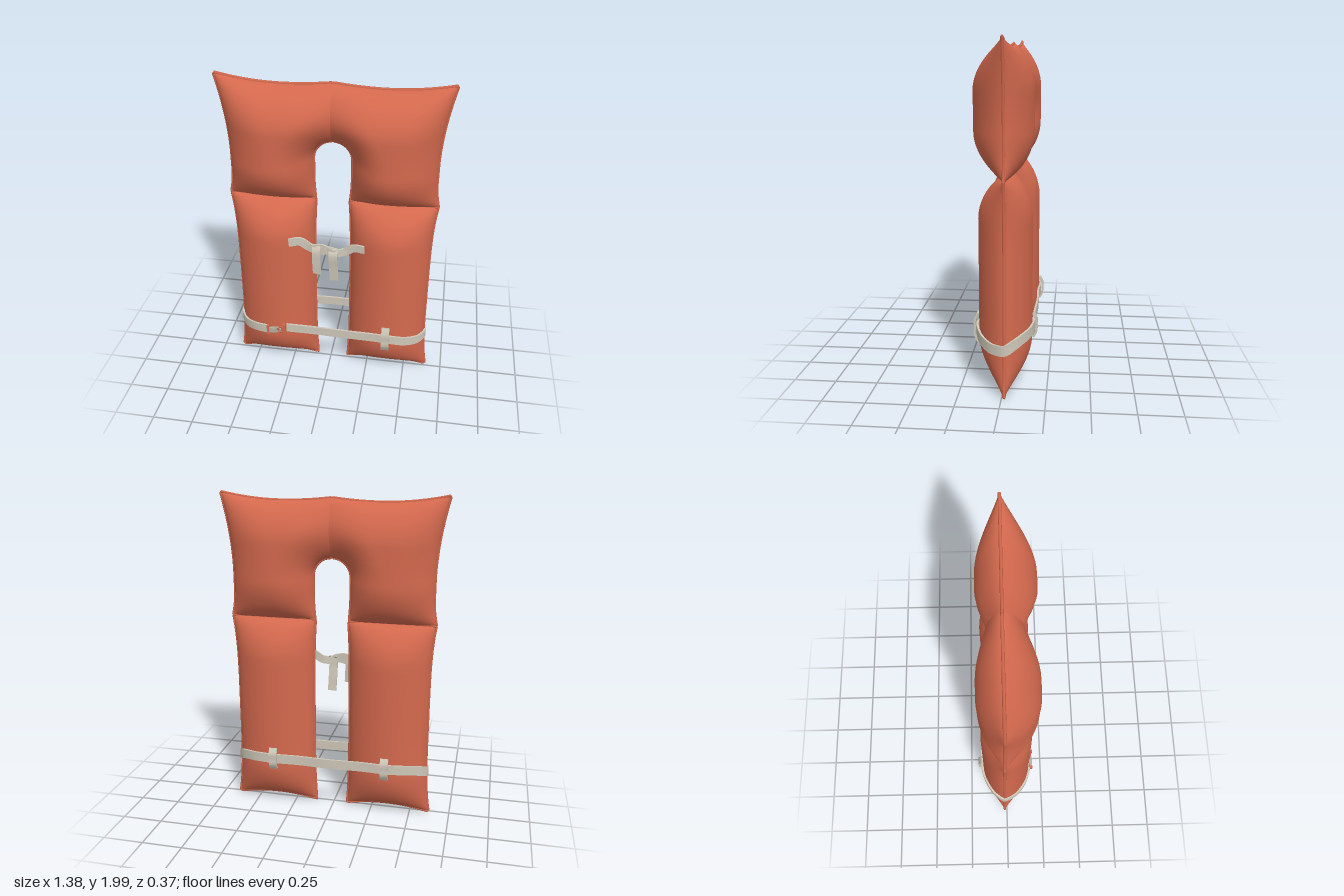
import * as THREE from 'three';
import { mergeGeometries, toCreasedNormals } from 'three/addons/utils/BufferGeometryUtils.js';

const fabric = new THREE.MeshStandardMaterial({ color: 0xd4694e });
fabric.name = 'orange fabric';
const webbing = new THREE.MeshStandardMaterial({ color: 0xcfc8b9 });
webbing.name = 'pale webbing';
const metal = new THREE.MeshStandardMaterial({ color: 0xb5afa2 });
metal.name = 'clip grey';

const CX = 0.012;   // x of the centre seam
const MID = -0.015; // z of the edge seam
const HOLE = 0.115, HOLE_Y = 1.505;

const pos = (v) => Math.max(0, v);
// pillow profile: 0 at the seam, 1 at a distance r from it
const puff = (d, r = 0.25) => Math.pow(Math.sin(Math.PI / 2 * Math.min(1, pos(d) / r)), 0.55);
// steps from a to b, denser at both ends
const steps = (a, b, n) => Array.from({ length: n + 1 }, (_, i) => a + (b - a) * (1 - Math.cos(Math.PI * i / n)) / 2);

const lowEnd = (y) => Math.pow(Math.min(1, Math.abs((y - 0.63) / 0.61)), 4);
const lower = {
  name: 'lowerPanel',
  rows: steps(0.014, 1.238, 44),
  inner: (y) => HOLE - 0.013 * lowEnd(y),
  outer: (y) => 0.605 + 0.027 * lowEnd(y),
  lift: (x, y) => 0.03 * pos(1 - ((x - 0.36) / 0.26) ** 2) * pos(1 - (y - 0.014) / 0.3),
  front: 0.17, back: 0.142,
  thick: (x, y) => puff(x - lower.inner(y)) * puff(lower.outer(y) - x) * puff(y - 0.014, 0.28) * puff(1.238 - y),
};

const upper = {
  name: 'shoulderPanel',
  rows: [...steps(1.238, HOLE_Y + HOLE, 26), ...steps(HOLE_Y + HOLE, 1.95, 22).slice(1)],
  inner: (y) => y < HOLE_Y ? HOLE - 0.01 * pos((1.4 - y) / 0.16) ** 2
    : Math.sqrt(pos(HOLE ** 2 - (y - HOLE_Y) ** 2)),
  outer: (y) => 0.613 + 0.069 * pos((y - 1.5) / 0.45) ** 2 + 0.02 * pos((1.4 - y) / 0.16) ** 2,
  lift: (x, y) => pos((y - 1.62) / 0.33) * (x > 0.3 ? 0.042 * ((x - 0.3) / 0.38) ** 2 : 0.02 * ((0.3 - x) / 0.3) ** 2),
  front: 0.197, back: 0.147,
  thick: (x, y) => {
    const hole = y < HOLE_Y ? x - upper.inner(y) : Math.hypot(x, y - HOLE_Y) - HOLE;
    const seam = 0.66 + 0.34 * Math.sin(Math.PI / 2 * Math.min(1, x / 0.25));
    return puff(hole, 0.22) * puff(upper.outer(y) - x, 0.28) * puff(1.95 - y) * puff(y - 1.238) * seam;
  },
};

// a stuffed panel: front and back sheets sharing one outline, plus piping
function makePanel(p, s) {
  const N = 32, R = p.rows.length, edge = [];
  const sheets = [1, -1].map((f) => {
    const verts = [], index = [];
    p.rows.forEach((b, i) => steps(p.inner(b), p.outer(b), N).forEach((x, j) => {
      const border = i === 0 || i === R - 1 || j === N || (j === 0 && p.inner(b) > 0);
      const t = border ? 0 : p.thick(x, b);
      verts.push(CX + s * x, b + p.lift(x, b), MID + f * t * (f > 0 ? p.front : p.back));
      if (i < R - 1 && j < N) {
        const a = i * (N + 1) + j, c = a + N + 1;
        if (s * f > 0) index.push(a, a + 1, c + 1, a, c + 1, c);
        else index.push(a, c + 1, a + 1, a, c, c + 1);
      }
    }));
    const g = new THREE.BufferGeometry();
    g.setAttribute('position', new THREE.Float32BufferAttribute(verts, 3));
    g.setIndex(index);
    g.computeVertexNormals();
    return g;
  });
  // walk round the outline: inner edge, bottom, outer edge, top
  const at = (x, b) => edge.push(new THREE.Vector3(CX + s * x, b + p.lift(x, b), MID));
  const first = p.rows[0], last = p.rows[R - 1], mids = p.rows.slice(1, -1);
  steps(p.inner(first), p.outer(first), 12).forEach((x) => at(x, first));
  mids.forEach((b) => at(p.outer(b), b));
  steps(p.inner(last), p.outer(last), 12).reverse().forEach((x) => at(x, last));
  [...mids].reverse().forEach((b) => at(p.inner(b), b));
  const group = new THREE.Group();
  group.name = (s > 0 ? 'left ' : 'right ') + p.name;
  const cushion = new THREE.Mesh(mergeGeometries(sheets), fabric);
  cushion.name = 'cushion';
  const piping = new THREE.Mesh(new THREE.TubeGeometry(new THREE.CatmullRomCurve3(edge, true), 240, 0.009, 6, true), fabric);
  piping.name = 'piping';
  group.add(cushion, piping);
  return group;
}

// flat webbing swept along a path; side gives the width direction
function ribbon(name, pts, width, side, n = 40, thickness = 0.012) {
  const curve = new THREE.CatmullRomCurve3(pts.map((q) => new THREE.Vector3(...q)));
  const verts = [], index = [];
  for (let i = 0; i <= n; i++) {
    const c = curve.getPoint(i / n), t = curve.getTangent(i / n);
    const w = new THREE.Vector3(...side).addScaledVector(t, -t.dot(new THREE.Vector3(...side))).normalize();
    const m = new THREE.Vector3().crossVectors(t, w);
    for (const [a, b] of [[1, 1], [-1, 1], [-1, -1], [1, -1]]) {
      const v = c.clone().addScaledVector(w, a * width / 2).addScaledVector(m, b * thickness / 2);
      verts.push(v.x, v.y, v.z);
    }
    if (i < n) for (let k = 0; k < 4; k++) {
      const a = i * 4 + k, b = i * 4 + (k + 1) % 4;
      index.push(a, b, b + 4, a, b + 4, a + 4);
    }
  }
  const e = n * 4;
  index.push(0, 2, 1, 0, 3, 2, e, e + 1, e + 2, e, e + 2, e + 3);
  const g = new THREE.BufferGeometry();
  g.setAttribute('position', new THREE.Float32BufferAttribute(verts, 3));
  g.setIndex(index);
  const mesh = new THREE.Mesh(toCreasedNormals(g, 0.7), webbing);
  mesh.name = name;
  return mesh;
}

// z on the lower panel's front (f = 1) or back (f = -1)
function surface(x, y, f, gap = 0.01) {
  const X = Math.max(0.27, Math.abs(x - CX));
  return MID + f * (lower.thick(X, y) * (f > 0 ? lower.front : lower.back) + gap);
}

function makeBelt() {
  const belt = new THREE.Group();
  belt.name = 'waistBelt';
  const on = (f) => ([x, y]) => [x, y, surface(x, y, f) - (f < 0 ? 0.014 * pos(1 - (x / 0.3) ** 2) : 0)];
  belt.add(ribbon('strap', [
    ...[[-0.27, 0.338], [-0.1, 0.335], [0.1, 0.33], [0.3, 0.332], [0.4, 0.335], [0.5, 0.31], [0.57, 0.292], [0.602, 0.287]].map(on(1)),
    [0.628, 0.29, MID],
    ...[[0.602, 0.315], [0.57, 0.33], [0.48, 0.345], [0.36, 0.35], [0.2, 0.35], [0, 0.35], [-0.2, 0.35],
      [-0.36, 0.35], [-0.46, 0.345], [-0.545, 0.33], [-0.578, 0.315]].map(on(-1)),
    [-0.604, 0.295, MID],
    ...[[-0.578, 0.287], [-0.545, 0.29], [-0.48, 0.305], [-0.385, 0.318]].map(on(1)),
  ], 0.06, [0, 1, 0], 160));
  // keeper loops over the belt
  for (const [x, y, f] of [[0.38, 0.335, 1], [0.36, 0.35, -1], [-0.35, 0.35, -1]]) {
    const h = f > 0 ? 0.09 : 0.07;
    belt.add(ribbon('keeperLoop', [-1, -0.5, 0, 0.5, 1].map((k) =>
      [x, y + k * h, surface(x, y + k * h, f, Math.abs(k) === 1 ? 0.006 : 0.024)]), 0.05, [1, 0, 0], 16));
  }
  // clip and ring closing the belt
  const z = surface(-0.34, 0.33, 1, 0.014);
  const add = (name, geo, mat, x, y) => {
    const m = new THREE.Mesh(geo, mat);
    m.name = name;
    m.position.set(x, y, z);
    m.rotation.z = 0.1;
    belt.add(m);
  };
  add('clipBar', new THREE.BoxGeometry(0.016, 0.07, 0.02), fabric, -0.388, 0.318);
  add('clipBody', new THREE.BoxGeometry(0.05, 0.036, 0.02), metal, -0.358, 0.321);
  add('clipHook', new THREE.TorusGeometry(0.017, 0.006, 6, 16), metal, -0.325, 0.327);
  add('ring', new THREE.TorusGeometry(0.02, 0.006, 6, 16), fabric, -0.302, 0.33);
  add('ringBar', new THREE.BoxGeometry(0.018, 0.072, 0.02), fabric, -0.281, 0.337);
  return belt;
}

function makeTie() {
  const tie = new THREE.Group();
  tie.name = 'chestTie';
  const up = [0, 1, 0], across = [1, 0, 0];
  tie.add(
    ribbon('rightTie', [[-0.24, 0.99, 0.13], [-0.17, 0.995, 0.115], [-0.12, 0.962, 0.11], [-0.06, 0.945, 0.122], [0, 0.955, 0.125], [0.05, 0.935, 0.115]], 0.055, up),
    ribbon('leftTie', [[0.225, 0.985, 0.13], [0.16, 0.98, 0.115], [0.1, 0.945, 0.11], [0.04, 0.94, 0.128], [-0.03, 0.965, 0.12], [-0.09, 0.955, 0.112]], 0.05, up),
    ribbon('rightTail', [[-0.07, 0.975, 0.115], [-0.068, 0.945, 0.134], [-0.066, 0.87, 0.142], [-0.062, 0.79, 0.145]], 0.052, [1, 0, 0.25], 20),
    ribbon('leftTail', [[0.035, 0.97, 0.115], [0.036, 0.93, 0.136], [0.038, 0.83, 0.128], [0.042, 0.735, 0.12]], 0.054, across, 20),
  );
  return tie;
}

export function createModel() {
  const model = new THREE.Group();
  model.name = 'lifeJacket';
  for (const s of [1, -1]) model.add(makePanel(upper, s), makePanel(lower, s));
  model.add(makeBelt(), makeTie());
  return model;
}
